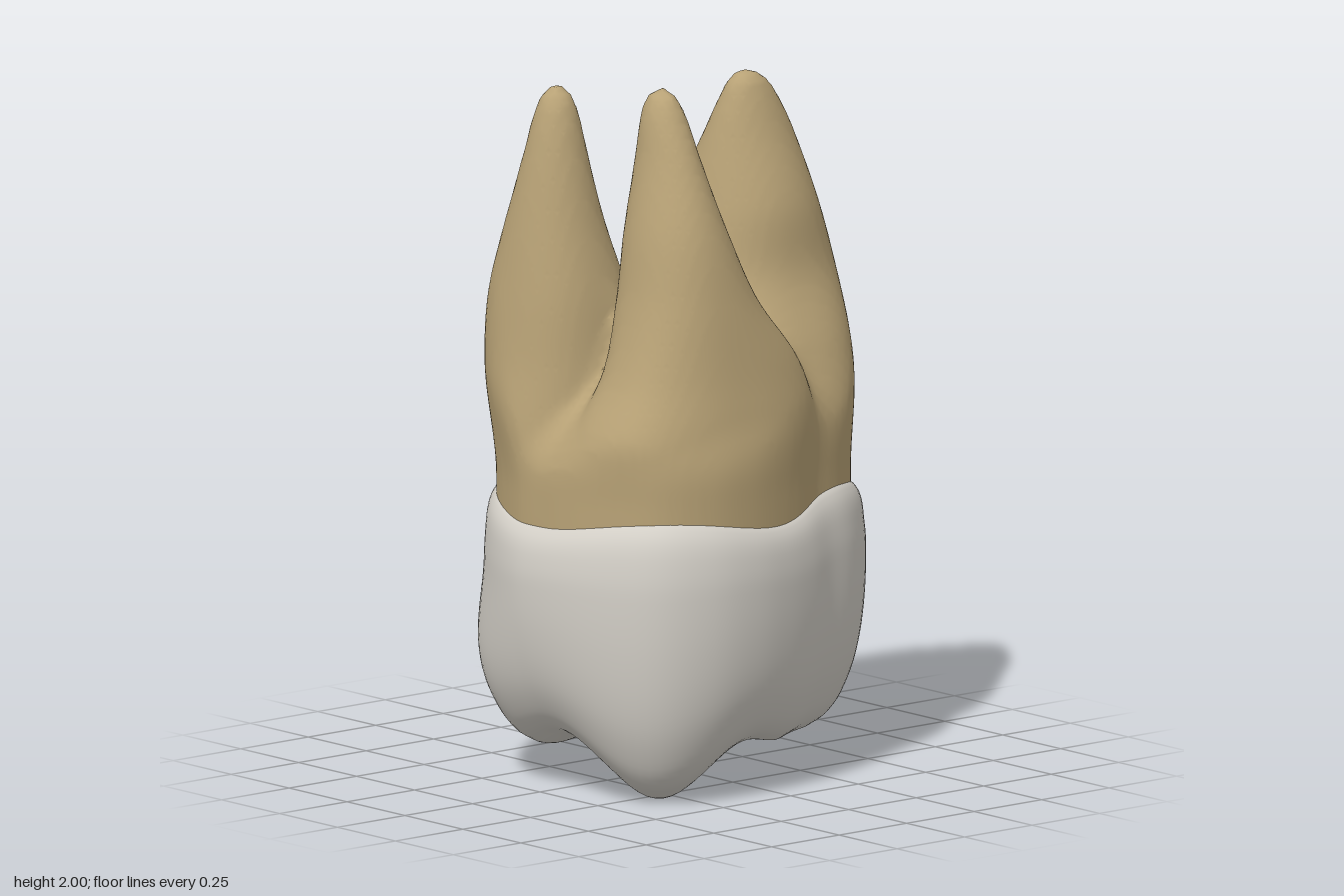
import * as THREE from 'three';

// Outline radius every 15 degrees, from +x towards +z
const OUTLINE = [.585, .578, .545, .505, .468, .475, .505, .553, .605, .638, .624, .605,
  .588, .572, .562, .548, .54, .535, .542, .545, .535, .535, .54, .553];

// Root cross-sections: y, centre x, centre z, radius x, radius z
const FRONT_ROOT = [
  [.6, -.14, .16, .42, .3], [1, -.12, .215, .385, .245], [1.2, -.105, .235, .305, .197],
  [1.4, -.15, .225, .2, .178], [1.6, -.177, .21, .137, .153], [1.8, -.184, .185, .083, .107],
  [1.93, -.185, .165, .057, .068], [1.985, -.185, .158, .032, .038], [2.006, -.185, .155, .001, .001]];
const BACK_ROOT = [
  [.6, -.22, -.17, .34, .31], [1, -.245, -.19, .3, .26], [1.2, -.265, -.18, .245, .23],
  [1.4, -.297, -.16, .187, .19], [1.6, -.32, -.145, .135, .138], [1.8, -.33, -.13, .088, .088],
  [1.92, -.33, -.127, .058, .058], [1.97, -.33, -.126, .032, .032], [1.99, -.33, -.125, .001, .001]];
const SIDE_ROOT = [
  [.6, .22, -.06, .33, .39], [1, .26, -.075, .3, .39], [1.2, .288, -.08, .288, .335],
  [1.4, .315, -.08, .253, .252], [1.6, .305, -.05, .195, .2], [1.8, .29, -.02, .13, .11],
  [1.91, .275, -.005, .08, .062], [1.955, .265, 0, .045, .036], [1.975, .26, 0, .001, .001]];
// Trunk: y, share of the outline, shift in x
const TRUNK = [[.6, .9, 0], [.8, .9, 0], [.95, .88, .01], [1.08, .76, .04], [1.18, .54, .06], [1.28, .3, .05], [1.32, .02, .03]];

// Smooth interpolation of a table whose first column is the position
function sample(rows, t) {
  const last = rows.length - 1;
  t = Math.min(Math.max(t, rows[0][0]), rows[last][0]);
  let i = 0;
  while (i < last - 1 && t > rows[i + 1][0]) i++;
  const p = rows[i], q = rows[i + 1], d = q[0] - p[0], u = (t - p[0]) / d;
  const slope = (j, c) => {
    const a = rows[Math.max(j - 1, 0)], b = rows[Math.min(j + 1, last)];
    return (b[c] - a[c]) / (b[0] - a[0]);
  };
  return p.map((_, c) => {
    const u2 = u * u, u3 = u2 * u;
    return p[c] * (2 * u3 - 3 * u2 + 1) + q[c] * (3 * u2 - 2 * u3)
      + d * (slope(i, c) * (u3 - 2 * u2 + u) + slope(i + 1, c) * (u3 - u2));
  });
}

function outline(angle) {
  const n = OUTLINE.length, s = ((angle / (2 * Math.PI)) % 1 + 1) % 1 * n;
  const i = Math.floor(s), u = s - i, at = k => OUTLINE[(i + k + n) % n];
  const [a, b, c, d] = [at(-1), at(0), at(1), at(2)];
  return b + .5 * u * (c - a + u * (2 * a - 5 * b + 4 * c - d + u * (3 * (b - c) + d - a)));
}

// The neck stands out further under the side root
const neckBulge = angle => .04 * Math.max(0, Math.cos(angle + .6));

function smoothMin(a, b, k) {
  const h = Math.max(k - Math.abs(a - b), 0) / k;
  return Math.min(a, b) - h * h * k / 4;
}

function meshFrom(name, positions, indices, material) {
  const g = new THREE.BufferGeometry();
  g.setAttribute('position', new THREE.Float32BufferAttribute(positions, 3));
  g.setIndex(indices);
  g.computeVertexNormals();
  const mesh = new THREE.Mesh(g, material);
  mesh.name = name;
  return mesh;
}

// Three roots blended with the trunk, skinned on a regular grid
function makeRoots(material) {
  const step = .02, low = [-.66, .68, -.66], size = [67, 69, 67];
  const stacks = [FRONT_ROOT, BACK_ROOT, SIDE_ROOT];
  const field = new Float32Array(size[0] * size[1] * size[2]);
  const id = (x, y, z) => x + size[0] * (y + size[1] * z);
  for (let j = 0; j < size[1]; j++) {
    const y = low[1] + j * step;
    const sections = stacks.map(s => sample(s, y));
    const [, share, shift] = sample(TRUNK, y);
    const limit = .905 + .06 * THREE.MathUtils.smoothstep(y, .85, 1.2);
    // Sections are squarer near the trunk and round at the tips
    const power = 2.45 - .45 * THREE.MathUtils.smoothstep(y, 1.1, 1.8);
    for (let k = 0; k < size[2]; k++) for (let i = 0; i < size[0]; i++) {
      const x = low[0] + i * step, z = low[2] + k * step, angle = Math.atan2(z, x);
      const R = outline(Math.atan2(z, x - shift)) * Math.max(share, .02);
      let f = Math.max(Math.hypot(x - shift, z) - R, y - 1.31);
      sections.forEach(([, cx, cz, rx, rz], n) => {
        rx = Math.max(rx, .001);
        rz = Math.max(rz, .001);
        const sum = Math.abs((x - cx) / rx) ** power + Math.abs((z - cz) / rz) ** power;
        const e = (sum ** (1 / power) - 1) * Math.min(rx, rz);
        const top = stacks[n][stacks[n].length - 1][0];
        f = smoothMin(f, Math.max(e, y - top), .05);
      });
      // Keep the roots within the tooth outline
      const wall = Math.hypot(x, z) - outline(angle) * (limit + neckBulge(angle));
      field[id(i, j, k)] = Math.max(-smoothMin(-f, -wall, .03), .72 - y);
    }
  }
  // One vertex per crossed cell, at the mean of its edge crossings
  const positions = [], indices = [], vertex = new Int32Array(field.length).fill(-1);
  const stride = [1, size[0], size[0] * size[1]];
  for (let k = 0; k < size[2] - 1; k++) for (let j = 0; j < size[1] - 1; j++) for (let i = 0; i < size[0] - 1; i++) {
    const base = id(i, j, k), sum = [0, 0, 0];
    let count = 0;
    for (let c = 0; c < 8; c++) for (let a = 0; a < 3; a++) {
      if (c >> a & 1) continue;
      const corner = [c & 1, c >> 1 & 1, c >> 2 & 1];
      const p = base + corner[0] * stride[0] + corner[1] * stride[1] + corner[2] * stride[2];
      const f0 = field[p], f1 = field[p + stride[a]];
      if ((f0 < 0) === (f1 < 0)) continue;
      corner[a] = f0 / (f0 - f1);
      corner.forEach((v, n) => { sum[n] += v; });
      count++;
    }
    if (!count) continue;
    vertex[base] = positions.length / 3;
    [i, j, k].forEach((v, n) => positions.push(low[n] + (v + sum[n] / count) * step));
  }
  // One quad per crossed edge
  for (let k = 1; k < size[2] - 1; k++) for (let j = 1; j < size[1] - 1; j++) for (let i = 1; i < size[0] - 1; i++) {
    const p = id(i, j, k);
    for (let a = 0; a < 3; a++) {
      const inside = field[p] < 0;
      if (inside === (field[p + stride[a]] < 0)) continue;
      const b = stride[(a + 1) % 3], c = stride[(a + 2) % 3];
      const q = [p - b - c, p - c, p, p - b].map(n => vertex[n]);
      if (!inside) q.reverse();
      indices.push(q[0], q[1], q[2], q[0], q[2], q[3]);
    }
  }
  return meshFrom('roots', positions, indices, material);
}

// Chewing surface: x, z, depth and width of each cusp
const CUSPS = [[-.3, .28, .24, .2], [.37, -.05, .2, .2], [-.34, -.15, .14, .18],
  [.05, -.43, .09, .16], [.1, .33, .11, .18], [.3, .22, .07, .14]];
function biteHeight(x, z) {
  let y = .24 + .08 * Math.exp(-(x * x + z * z) / .03);
  for (const [cx, cz, depth, width] of CUSPS) {
    y -= depth * Math.exp(-((x - cx) ** 2 + (z - cz) ** 2) / (width * width));
  }
  return Math.max(y, 0);
}

// Crown side: share of the way down, share of the outline
const CROWN_SIDE = [[0, .885], [.015, .915], [.06, .955], [.13, .982], [.25, 1], [.5, .992],
  [.72, .95], [.88, .875], [.96, .8], [1, .72]];

function makeCrown(material) {
  const columns = 120, sideRows = 40, biteRows = 26, rim = .72;
  const positions = [], indices = [];
  for (let r = 0; r <= sideRows + biteRows; r++) for (let c = 0; c < columns; c++) {
    const angle = c / columns * 2 * Math.PI, R = outline(angle);
    const cos = Math.cos(angle), sin = Math.sin(angle);
    if (r <= sideRows) {
      const t = .5 - .5 * Math.cos(r / sideRows * Math.PI);
      // The back is flatter above and fuller below
      const flare = 1 - .06 * Math.max(0, -sin) * Math.sin(2 * Math.PI * t);
      const bulge = neckBulge(angle) * Math.max(0, 1 - t * 6);
      const k = (sample(CROWN_SIDE, t)[1] * flare + bulge) * R;
      const neck = .797 - .025 * Math.cos(4 * angle);
      const edge = biteHeight(cos * R * rim, sin * R * rim);
      positions.push(cos * k, neck + (edge - neck) * t, sin * k);
    } else {
      const k = R * rim * (1 - (r - sideRows) / biteRows);
      positions.push(cos * k, biteHeight(cos * k, sin * k), sin * k);
    }
    if (r === sideRows + biteRows) continue;
    const a = r * columns + c, b = r * columns + (c + 1) % columns;
    indices.push(a, b, a + columns, b, b + columns, a + columns);
  }
  return meshFrom('crown', positions, indices, material);
}

export function createModel() {
  const rootTan = new THREE.MeshStandardMaterial({ color: 0xb8a276 });
  rootTan.name = 'root tan';
  const enamel = new THREE.MeshStandardMaterial({ color: 0xd2cec6 });
  enamel.name = 'enamel white';
  const group = new THREE.Group();
  group.name = 'molar tooth';
  group.add(makeRoots(rootTan), makeCrown(enamel));
  return group;
}
